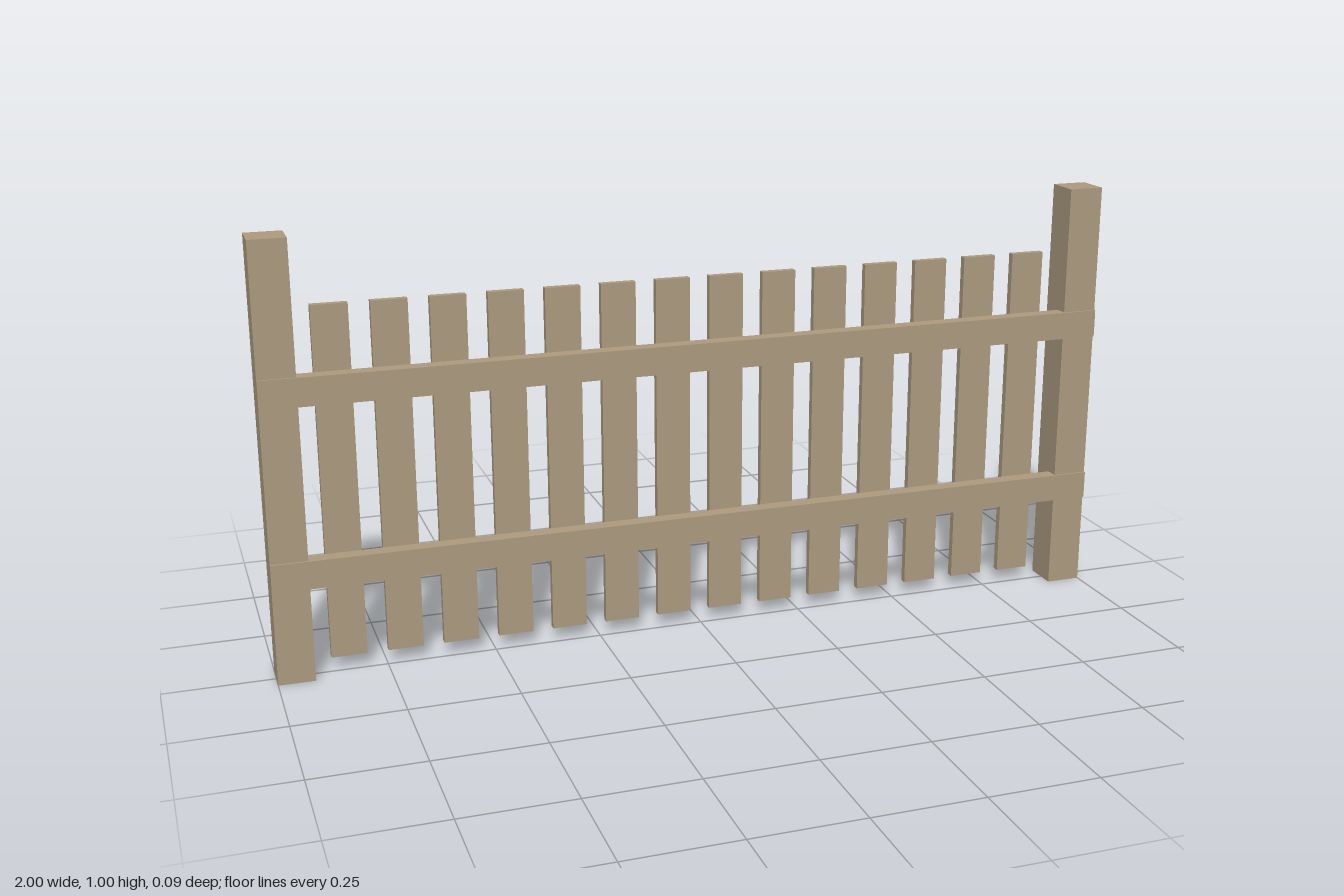
import * as THREE from 'three';

export function createModel() {
  const fence = new THREE.Group();
  fence.name = 'fence';
  const wood = new THREE.MeshStandardMaterial({ color: 0xae9c80 });
  wood.name = 'weathered wood';

  // Box given by its x centre and width, and its y and z ranges
  function board(name, x, width, [y0, y1], [z0, z1]) {
    const mesh = new THREE.Mesh(new THREE.BoxGeometry(width, y1 - y0, z1 - z0), wood);
    mesh.position.set(x, (y0 + y1) / 2, (z0 + z1) / 2);
    mesh.name = name;
    fence.add(mesh);
  }

  // Square end posts
  const postWidth = 0.083;
  for (const [name, side] of [['leftPost', 1], ['rightPost', -1]]) {
    board(name, side * (1 - postWidth / 2), postWidth, [0, 1], [-0.044, 0.039]);
  }

  // Horizontal rails, let into the posts and slightly proud of their fronts
  board('lowerRail', 0, 2, [0.22, 0.285], [0.009, 0.044]);
  board('upperRail', 0, 2, [0.635, 0.70], [0.009, 0.044]);

  // Evenly spaced pickets behind the rails
  const count = 14, spacing = 0.1284;
  for (let i = 0; i < count; i++) {
    board(`picket${i + 1}`, (i - (count - 1) / 2) * spacing, 0.081, [0.03, 0.843], [-0.024, -0.007]);
  }

  return fence;
}
